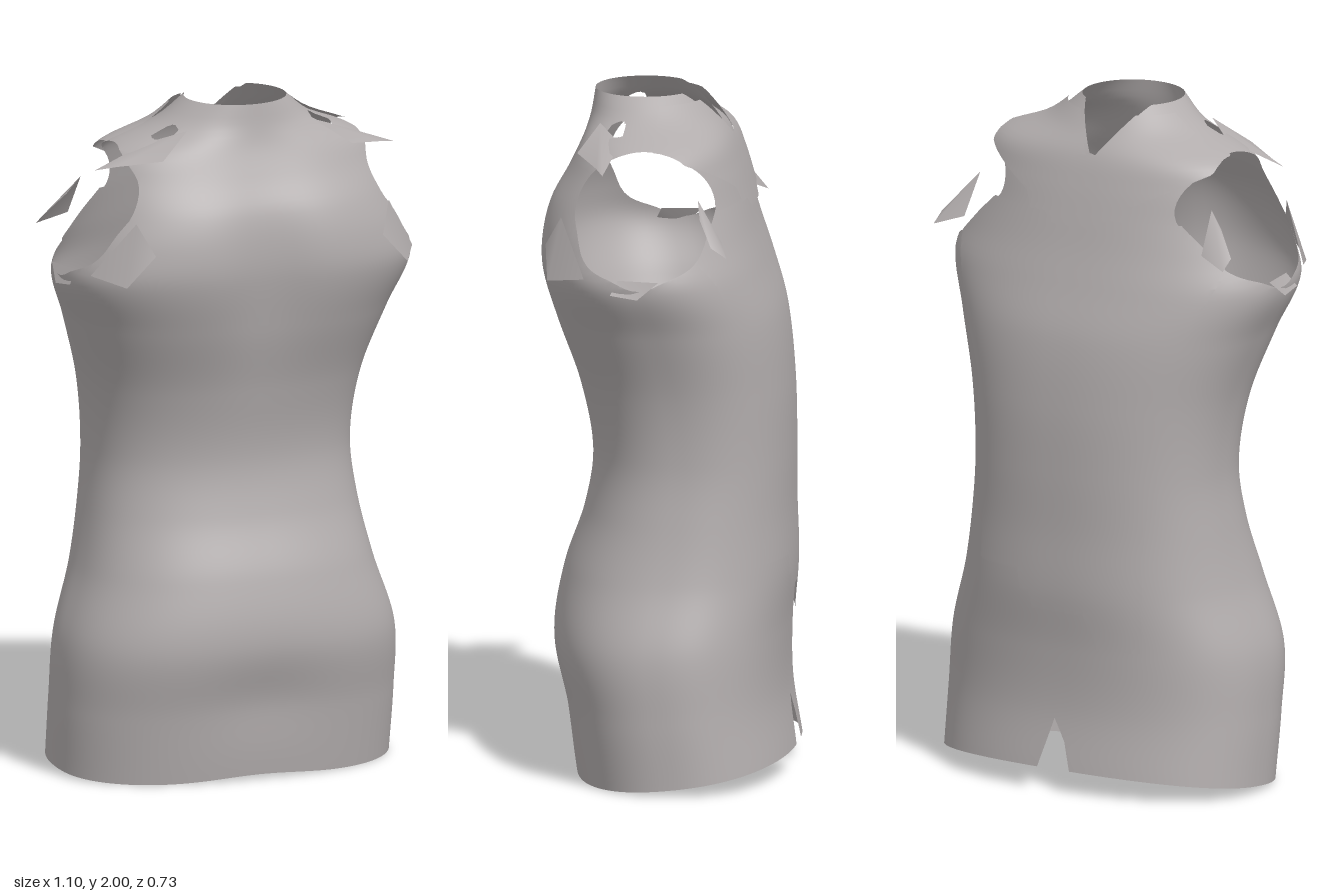
import * as THREE from 'three';
import { mergeVertices } from 'three/addons/utils/BufferGeometryUtils.js';

// Torso cross-sections from hem to neck: [height, half width, front z, back z]
const ROWS = [
  [0.00, 0.515, 0.272, -0.365], [0.20, 0.517, 0.302, -0.338], [0.40, 0.507, 0.34, -0.338],
  [0.60, 0.447, 0.312, -0.352], [0.78, 0.412, 0.252, -0.348], [0.95, 0.397, 0.228, -0.348],
  [1.15, 0.419, 0.265, -0.342], [1.35, 0.482, 0.334, -0.318], [1.50, 0.54, 0.374, -0.272],
  [1.60, 0.51, 0.376, -0.24], [1.70, 0.465, 0.352, -0.212], [1.79, 0.435, 0.3, -0.185],
  [1.87, 0.385, 0.26, -0.155], [1.93, 0.24, 0.241, -0.115], [2.00, 0.15, 0.228, -0.065],
];

const bump = (d, r) => Math.exp(-(d * d) / (r * r));

// Smooth cubic reading of one table column at a height
function column(y, c) {
  const last = ROWS.length - 1;
  let i = 0;
  while (i < last - 1 && y > ROWS[i + 1][0]) i++;
  const slope = (k) => {
    const a = ROWS[Math.max(k - 1, 0)], b = ROWS[Math.min(k + 1, last)];
    return (b[c] - a[c]) / (b[0] - a[0]);
  };
  const p = ROWS[i], q = ROWS[i + 1], h = q[0] - p[0], t = (y - p[0]) / h;
  return p[c] * (2 * t ** 3 - 3 * t * t + 1) + h * slope(i) * (t ** 3 - 2 * t * t + t)
    + q[c] * (3 * t * t - 2 * t ** 3) + h * slope(i + 1) * (t ** 3 - t * t);
}

// Point on the torso at angle a (0 = front, rising toward +x) and height y
function skin(a, y, offset) {
  const w = column(y, 1) + offset, front = column(y, 2) + offset, back = column(y, 3) - offset;
  const mid = (front + back) / 2, depth = (front - back) / 2;
  const s = Math.sin(a), c = Math.cos(a);
  const power = 2 / (2.35 - 0.35 * THREE.MathUtils.smoothstep(y, 1.84, 1.94));
  const x = Math.sign(s) * w * Math.abs(s) ** power;
  let z = mid + Math.sign(c) * depth * Math.abs(c) ** power;
  // Shallow hollow between the two sides of the chest and under the belly
  if (c > 0) z -= c * (0.035 * bump(x, 0.13) * bump(y - 1.52, 0.26) + 0.012 * bump(x, 0.2) * bump(y - 0.24, 0.12));
  // Hem rises toward the back and a little at the front centre
  const fade = Math.max(0, 1 - y / 0.6);
  const lift = 0.07 * Math.max(0, (0.27 - z) / 0.635) ** 1.7 + (c > 0 ? 0.016 * bump(x, 0.2) : 0);
  return new THREE.Vector3(x, y + lift * fade, z);
}

// Shell of loops, its triangles clipped cleanly to the region where field(point) > 0
function shell(y0, y1, rows, cols, offset, field) {
  const corners = [];
  const clip = (tri) => {
    const f = tri.map(field), kept = [];
    tri.forEach((p, i) => {
      const n = (i + 1) % 3;
      if (f[i] > 0) kept.push(p);
      if (f[i] > 0 !== f[n] > 0) kept.push(p.clone().lerp(tri[n], f[i] / (f[i] - f[n])));
    });
    for (let i = 2; i < kept.length; i++) corners.push(kept[0], kept[i - 1], kept[i]);
  };
  const at = (i, j) => skin(((i % cols) / cols) * Math.PI * 2, y0 + ((y1 - y0) * j) / rows, offset);
  for (let j = 0; j < rows; j++) {
    for (let i = 0; i < cols; i++) {
      const a = at(i, j), b = at(i + 1, j), c = at(i + 1, j + 1), d = at(i, j + 1);
      clip([a, b, c]);
      clip([a, c, d]);
    }
  }
  const geometry = mergeVertices(new THREE.BufferGeometry().setFromPoints(corners), 1e-5);
  geometry.computeVertexNormals();
  return geometry;
}

// Distance outside the arm opening, with a slightly wavy lower edge
function armOpening({ x, y, z }) {
  if (Math.abs(x) < 0.2) return 1;
  const angle = Math.atan2(y - 1.695, z - 0.04);
  const wave = angle < 0 ? 0.03 * Math.sin(angle * 7) : 0;
  return (Math.hypot((z - 0.04) / 0.2, (y - 1.695) / 0.186) - 1 - wave) * 0.19;
}

// Notch at the back of the neck
const neckNotch = ({ x, y, z }) => (z < 0 ? Math.abs(x + 0.015) - 0.09 * (y - 1.85) / 0.13 : 1);

// Main cloth: arm openings, neck notch, hem slit and small shoulder tears
function mainCloth(p) {
  const { x, y, z } = p;
  const slit = z < -0.2 && y < 0.5 ? Math.abs(x + 0.01) - 0.055 * (0.25 - y) / 0.18 : 1;
  const tear = y > 1.85 ? Math.max(Math.abs(Math.abs(x) - 0.245) - 0.034, Math.abs(z - 0.14) - 0.028) : 1;
  return Math.min(armOpening(p), neckNotch(p), slit, tear);
}

// Lower back layer with stepped edges, widening toward the arms
function backLayer(p) {
  const { x, y, z } = p;
  const side = y > 1.15 ? 0.29 + 0.4 * (y - 1.15) : y > 0.85 ? 0.31 : 0.28;
  const bottom = x > 0.1 ? 0.65 : x > -0.12 ? 0.54 : 0.44;
  return Math.min(-0.08 - z, side - Math.abs(x), y - bottom, armOpening(p));
}

// Upper back layer hanging from the neck over the shoulder blades
function yokeLayer(p) {
  const { x, y, z } = p;
  const ax = Math.abs(x);
  const bottom = ax < 0.1 ? 1.67 : ax < 0.17 ? 1.7 : 1.74 + 0.5 * (ax - 0.17);
  return Math.min(0.02 - z, y - bottom, 0.38 - ax, armOpening(p), neckNotch(p));
}

// Loose torn pieces around the shoulders and arm openings
const SCRAPS = {
  shoulderScrap: [[0.2, 1.93, 0.19], [0.3, 1.89, 0.12], [0.475, 1.83, 0.15], [0.42, 1.84, 0.175], [0.3, 1.86, 0.245]],
  rearArmScrap: [[0.4, 1.75, -0.12], [0.41, 1.63, -0.19], [0.5, 1.6, -0.215], [0.5, 1.63, -0.17], [0.44, 1.7, -0.13]],
  frontArmScrap: [[0.4, 1.69, 0.28], [0.51, 1.53, 0.2], [0.445, 1.51, 0.315], [0.36, 1.6, 0.33]],
  underarmScrap: [[0.515, 1.53, 0.1], [0.54, 1.49, 0.12], [0.55, 1.48, 0.04], [0.535, 1.53, -0.02]],
};

export function createModel() {
  const group = new THREE.Group();
  const cloth = new THREE.MeshStandardMaterial({ color: 0xb2adad, side: THREE.DoubleSide });
  cloth.name = 'warm grey';

  const add = (name, geometry) => {
    const mesh = new THREE.Mesh(geometry, cloth);
    mesh.name = name;
    group.add(mesh);
  };

  add('torsoShell', shell(0, 2, 110, 128, 0, mainCloth));
  add('lowerBackLayer', shell(0.4, 1.7, 60, 112, 0.006, backLayer));
  add('upperBackLayer', shell(1.65, 1.98, 24, 112, 0.02, yokeLayer));

  for (const [name, corners] of Object.entries(SCRAPS)) {
    for (const side of [1, -1]) {
      const g = new THREE.BufferGeometry().setFromPoints(
        corners.map(([x, y, z]) => new THREE.Vector3(x * side, y, z)));
      const index = [];
      for (let i = 2; i < corners.length; i++) index.push(0, ...(side > 0 ? [i, i - 1] : [i - 1, i]));
      g.setIndex(index);
      g.computeVertexNormals();
      add((side > 0 ? 'left ' : 'right ') + name, g);
    }
  }
  return group;
}
